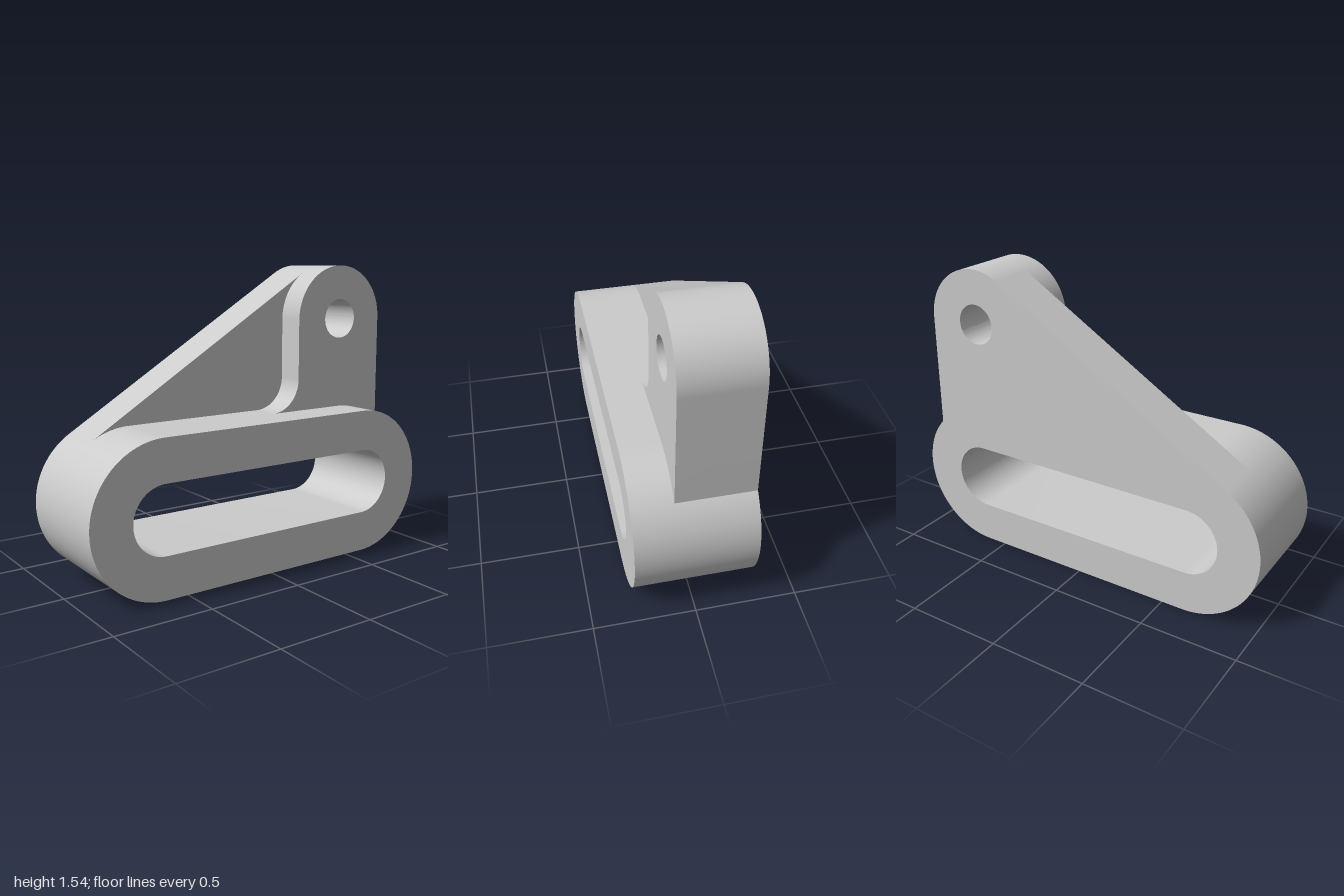
import * as THREE from 'three';
import { toCreasedNormals } from 'three/addons/utils/BufferGeometryUtils.js';

const BACK = -0.295, FRONT = 0.295;      // full thickness of the body
const LUG_FRONT = 0.092, WEB_FRONT = -0.05;
const BODY = { x: 0.613, y: 0.387, r: 0.387, slot: 0.172 };
const LUG = { x: 0.61, y: 1.253, r: 0.283, hole: 0.104 };
const FILLET = 0.167;

// Stadium outline around the two body centres
function stadium(path, r) {
  path.absarc(BODY.x, BODY.y, r, -Math.PI / 2, Math.PI / 2, false);
  path.absarc(-BODY.x, BODY.y, r, Math.PI / 2, Math.PI * 1.5, false);
  path.closePath();
  return path;
}

// Every part is a plate starting at the common back plane
function plate(name, shape, front) {
  const geometry = new THREE.ExtrudeGeometry(shape, {
    depth: front - BACK, bevelEnabled: false, curveSegments: 40,
  });
  geometry.translate(0, 0, BACK);
  const material = new THREE.MeshStandardMaterial({ color: 0xcccccc });
  const mesh = new THREE.Mesh(toCreasedNormals(geometry, 0.5), material);
  mesh.name = name;
  return mesh;
}

export function createModel() {
  const group = new THREE.Group();
  group.name = 'slottedBracket';

  // Long rounded body with a through slot
  const body = stadium(new THREE.Shape(), BODY.r);
  body.holes.push(stadium(new THREE.Path(), BODY.slot));
  group.add(plate('slottedBody', body, FRONT));

  // Upright lug: round top, pin hole, fillet into the body on its inner side
  const bodyTop = BODY.y + BODY.r;
  const left = LUG.x - LUG.r, right = LUG.x + LUG.r;
  const rightFoot = BODY.y + Math.sqrt(BODY.r ** 2 - (right - BODY.x) ** 2);
  const lug = new THREE.Shape();
  lug.moveTo(BODY.x, 0.7);
  lug.lineTo(right, rightFoot);
  lug.absarc(LUG.x, LUG.y, LUG.r, 0, Math.PI, false);
  lug.absarc(left - FILLET, bodyTop + FILLET, FILLET, 0, -Math.PI / 2, true);
  lug.closePath();
  const hole = new THREE.Path();
  hole.absarc(LUG.x, LUG.y, LUG.hole, 0, Math.PI * 2, true);
  lug.holes.push(hole);
  group.add(plate('pinLug', lug, LUG_FRONT));

  // Thin web, its sloping edge tangent to the body end and the lug top
  const dx = LUG.x + BODY.x, dy = LUG.y - BODY.y;
  const normal = Math.atan2(dy, dx) + Math.PI / 2
    - Math.asin((BODY.r - LUG.r) / Math.hypot(dx, dy));
  const c = Math.cos(normal), s = Math.sin(normal);
  const web = new THREE.Shape([
    [-BODY.x + BODY.r * c, BODY.y + BODY.r * s],
    [-BODY.x, 0.7],
    [0.45, 0.7],
    [0.45, 1.3],
    [LUG.x + LUG.r * c, LUG.y + LUG.r * s],
  ].map(([x, y]) => new THREE.Vector2(x, y)));
  group.add(plate('web', web, WEB_FRONT));

  return group;
}
